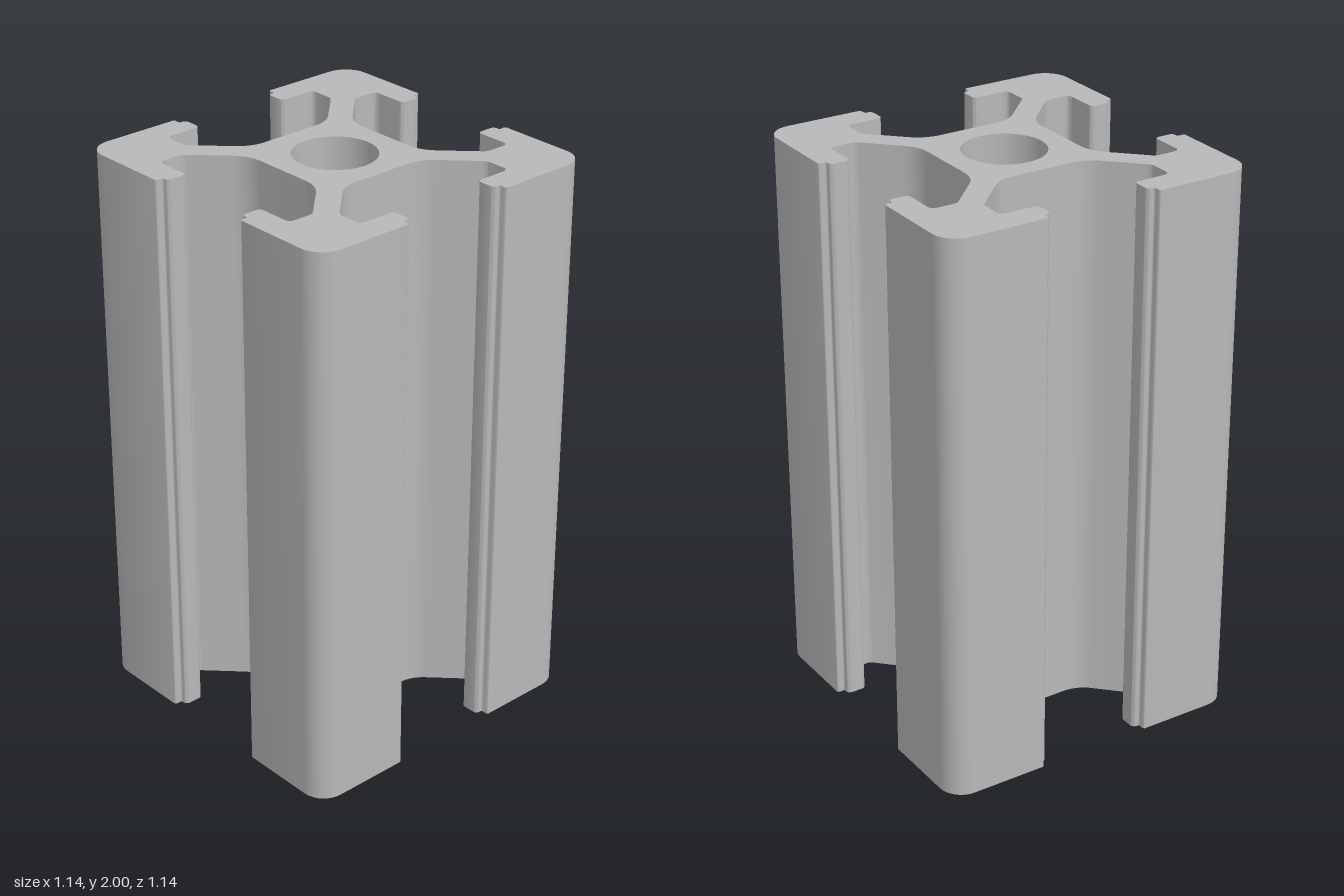
import * as THREE from 'three';
import { toCreasedNormals } from 'three/addons/utils/BufferGeometryUtils.js';

const HEIGHT = 2;
const BORE_RADIUS = 0.143;

// Half of one arm, from the slot floor to the outer corner: x, y, corner radius
const HALF_ARM = [
  [0.222, 0.164, 0.13],
  [0.376, 0.318, 0.03],
  [0.47, 0.318, 0.02],
  [0.47, 0.181, 0.016],
  [0.543, 0.181, 0.016],
  [0.543, 0.207, 0.004],
  [0.571, 0.207, 0.008],
  [0.571, 0.571, 0.085],
];

// Mirror the half arm over the diagonal, then turn it into all four quadrants
function profileCorners() {
  const mirrored = HALF_ARM.slice(0, -1).reverse().map(([x, y, r]) => [y, x, r]);
  let arm = [...HALF_ARM, ...mirrored];
  const corners = [];
  for (let i = 0; i < 4; i++) {
    corners.push(...arm);
    arm = arm.map(([x, y, r]) => [-y, x, r]);
  }
  return corners.map(([x, y, r]) => ({ p: new THREE.Vector2(x, y), r }));
}

// Closed outline with a true circular fillet at every corner
function filletedShape(corners) {
  const shape = new THREE.Shape();
  const n = corners.length;
  corners.forEach(({ p, r }, i) => {
    const a = corners[(i + n - 1) % n].p.clone().sub(p).normalize();
    const b = corners[(i + 1) % n].p.clone().sub(p).normalize();
    const half = Math.acos(THREE.MathUtils.clamp(a.dot(b), -1, 1)) / 2;
    const t = r / Math.tan(half);
    const centre = a.clone().add(b).normalize().multiplyScalar(r / Math.sin(half)).add(p);
    const start = a.multiplyScalar(t).add(p).sub(centre);
    const end = b.multiplyScalar(t).add(p).sub(centre);
    shape.absarc(centre.x, centre.y, r, start.angle(), end.angle(), start.cross(end) < 0);
  });
  return shape;
}

export function createModel() {
  const aluminium = new THREE.MeshStandardMaterial({ color: 0xb8b8b8 });
  aluminium.name = 'aluminium';

  // Cross-section with the central bore
  const shape = filletedShape(profileCorners());
  const bore = [];
  for (let i = 0; i < 64; i++) {
    const a = (-i / 64) * Math.PI * 2;
    bore.push(new THREE.Vector2(Math.cos(a) * BORE_RADIUS, Math.sin(a) * BORE_RADIUS));
  }
  shape.holes.push(new THREE.Path(bore));

  // Extrude the section and stand it upright
  const extruded = new THREE.ExtrudeGeometry(shape, {
    depth: HEIGHT, bevelEnabled: false, curveSegments: 5,
  });
  extruded.rotateX(-Math.PI / 2);
  const rail = new THREE.Mesh(toCreasedNormals(extruded, 0.5), aluminium);
  rail.name = 'slottedRail';

  const group = new THREE.Group();
  group.name = 'slottedExtrusion';
  group.add(rail);
  return group;
}
